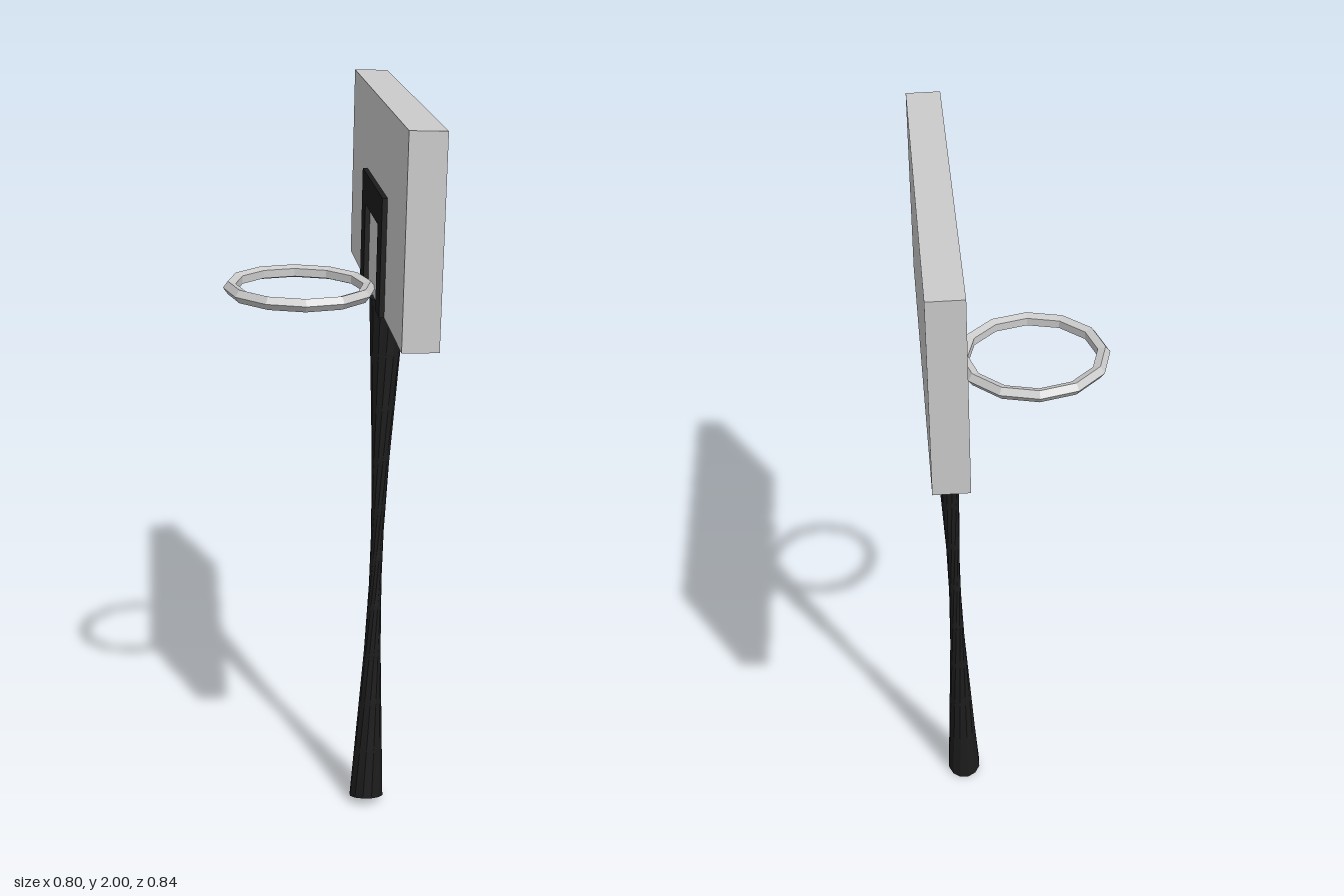
import * as THREE from 'three';

const grey = new THREE.MeshStandardMaterial({ color: 0xcccccc, flatShading: true });
const black = new THREE.MeshStandardMaterial({ color: 0x1c1c1c, flatShading: true });

function part(name, geometry, material, x = 0, y = 0, z = 0) {
  const mesh = new THREE.Mesh(geometry, material);
  mesh.name = name;
  mesh.position.set(x, y, z);
  return mesh;
}

// Leaning pole whose ends are twisted against each other, pinching its middle
function poleGeometry() {
  const radius = 0.048, twist = 2.4;
  const geo = new THREE.CylinderGeometry(1, 1, 1, 12, 10);
  const pos = geo.attributes.position;
  const low = new THREE.Vector3(), high = new THREE.Vector3();
  const yAxis = new THREE.Vector3(0, 1, 0);
  for (let i = 0; i < pos.count; i++) {
    const t = pos.getY(i) + 0.5;
    low.set(pos.getX(i) * radius, 0, pos.getZ(i) * radius);
    high.copy(low).applyAxisAngle(yAxis, twist);
    low.y = 0.016 - 0.25 * low.x + 0.2 * low.z; // slanted foot
    low.x -= 0.104;
    low.z -= 0.018;
    high.add(new THREE.Vector3(-0.022, 1.48, -0.002));
    low.lerp(high, t);
    pos.setXYZ(i, low.x, low.y, low.z);
  }
  geo.computeVertexNormals();
  return geo;
}

// Inverted U painted on the board
function targetGeometry() {
  const outer = 0.203, inner = 0.128, bottom = -0.257, top = 0.043, bar = 0.08;
  const shape = new THREE.Shape([
    [-outer, bottom], [-inner, bottom], [-inner, top - bar], [inner, top - bar],
    [inner, bottom], [outer, bottom], [outer, top], [-outer, top],
  ].map(([x, y]) => new THREE.Vector2(x, y)));
  return new THREE.ExtrudeGeometry(shape, { depth: 0.02, bevelEnabled: false });
}

export function createModel() {
  const model = new THREE.Group();
  model.name = 'basketballHoop';
  model.add(part('pole', poleGeometry(), black));

  // Board, target and rim share one turned and slightly tilted frame
  const head = new THREE.Group();
  head.name = 'backboardAssembly';
  const across = new THREE.Vector3(0.72, -0.015, -0.775).normalize();
  const up = new THREE.Vector3(0.018, 0.515, 0.006);
  const normal = new THREE.Vector3().crossVectors(across, up).normalize();
  up.crossVectors(normal, across);
  head.quaternion.setFromRotationMatrix(new THREE.Matrix4().makeBasis(across, up, normal));
  head.position.y = 1.735;

  head.add(part('backboard', new THREE.BoxGeometry(1.06, 0.515, 0.09), grey));
  head.add(part('targetFrame', targetGeometry(), black, -0.012, 0, -0.058));
  const rim = part('rim', new THREE.TorusGeometry(0.18, 0.018, 5, 12), grey, 0, -0.233, -0.238);
  rim.rotation.x = Math.PI / 2;
  head.add(rim);
  model.add(head);
  return model;
}
